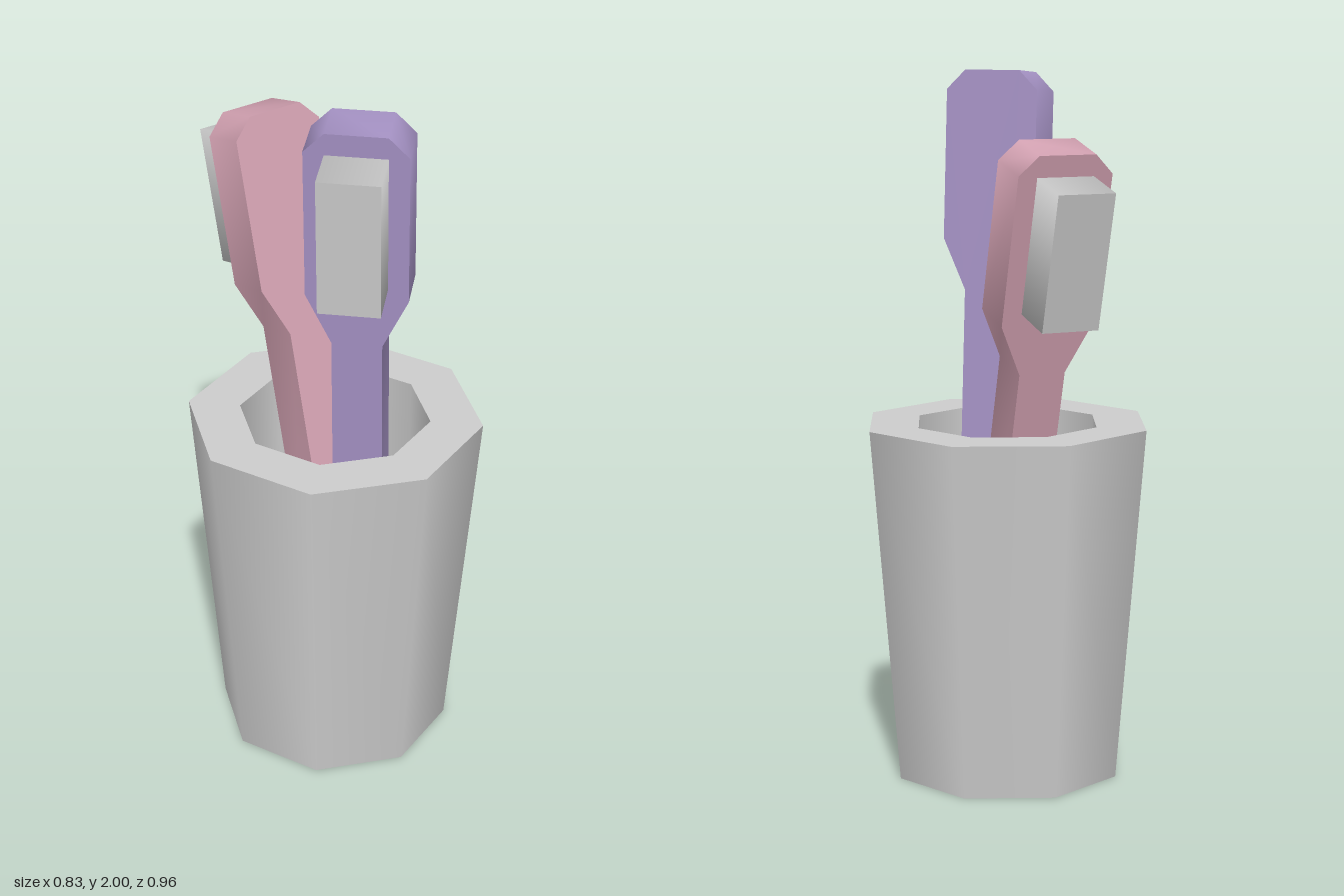
import * as THREE from 'three';
import { mergeGeometries, toCreasedNormals } from 'three/addons/utils/BufferGeometryUtils.js';

const material = (name, color) => {
  const m = new THREE.MeshStandardMaterial({ color });
  m.name = name;
  return m;
};

const THICK = 0.137;

// Octagonal cup: one lathe per profile segment keeps the rims sharp
function cupGeometry() {
  const profile = [[0, 0], [0.333, 0], [0.417, 1.015], [0.27, 1.015], [0.27, 0.7], [0, 0.7]]
    .map(([r, y]) => new THREE.Vector2(r, y));
  const bands = [];
  for (let i = 0; i < profile.length - 1; i++) {
    bands.push(new THREE.LatheGeometry([profile[i], profile[i + 1]], 8));
  }
  return mergeGeometries(bands);
}

// Brush body: mirrored outline, top at y = 0, back face at z = 0
function bodyGeometry() {
  const half = [[0.068, -1.4], [0.068, -0.625], [0.137, -0.48], [0.137, -0.055], [0.082, 0]];
  const outline = [...half, ...half.map(([x, y]) => [-x, y]).reverse()];
  const shape = new THREE.Shape(outline.map(([x, y]) => new THREE.Vector2(x, y)));
  const geo = new THREE.ExtrudeGeometry(shape, { depth: THICK, bevelEnabled: false });
  return toCreasedNormals(geo, 0.9);
}

// Bristle block: four-sided prism with soft side normals and a flat end
function bristleGeometry() {
  const geo = new THREE.CylinderGeometry(Math.SQRT1_2, Math.SQRT1_2, 1, 4);
  geo.rotateY(Math.PI / 4).rotateX(Math.PI / 2);
  // scale positions only, so the diagonal normals are kept
  geo.attributes.position.applyMatrix4(new THREE.Matrix4().makeScale(0.165, 0.385, THICK));
  geo.translate(0, -0.253, THICK * 1.5);
  return geo;
}

export function createModel() {
  const model = new THREE.Group();
  const gray = material('light gray', 0xcccccc);
  const purple = material('lavender', 0xa592c4);
  const pink = material('dusty pink', 0xd2a1b1);

  const add = (parent, name, geo, mat) => {
    const mesh = new THREE.Mesh(geo, mat);
    mesh.name = name;
    parent.add(mesh);
    return mesh;
  };

  add(model, 'cup', cupGeometry(), gray).position.z = 0.065;

  const body = bodyGeometry();
  const bristles = bristleGeometry();
  const addBrush = (name, mat, position, lean, yaw) => {
    const brush = new THREE.Group();
    brush.name = name;
    add(brush, 'brushBody', body, mat);
    add(brush, 'bristles', bristles, gray);
    brush.position.set(...position);
    brush.rotation.set(THREE.MathUtils.degToRad(lean), yaw, 0, 'YXZ');
    model.add(brush);
  };

  // Each brush tips towards its bristles
  addBrush('purpleToothbrush', purple, [-0.022, 2, 0.216], 4, -Math.PI / 4);
  addBrush('pinkToothbrush', pink, [0.0125, 1.83, -0.231], 15, Math.PI);

  return model;
}
